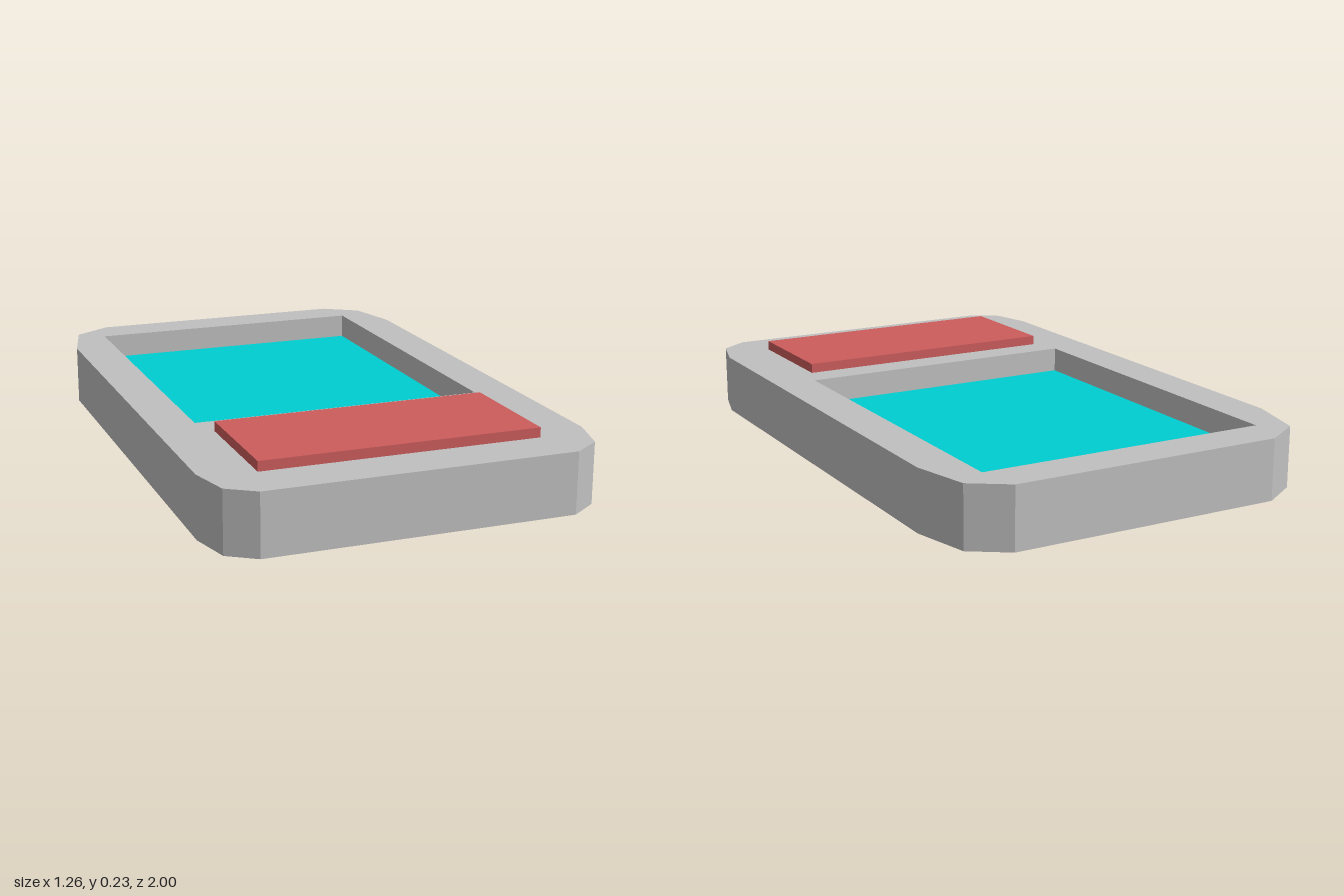
import * as THREE from 'three';

// Body outline, in x and z
const OUTLINE = [
  [-0.45, -1], [0.46, -1], [0.58, -0.92], [0.626, -0.73],
  [0.626, 0.79], [0.587, 0.935], [0.495, 1], [-0.505, 1],
  [-0.595, 0.94], [-0.63, 0.8], [-0.63, -0.715], [-0.577, -0.92],
];
const SCREEN = { x0: -0.49, x1: 0.487, z0: -0.86, z1: 0.328 };
const HEIGHT = 0.2, FLOOR = 0.11;

const toPoints = (list) => list.map(([x, z]) => new THREE.Vector2(x, z));

export function createModel() {
  const group = new THREE.Group();
  const material = (name, color) =>
    new THREE.MeshStandardMaterial({ name, color, flatShading: true });
  const grey = material('casing grey', 0xc0c0c0);
  const cyan = material('screen turquoise', 0x00ced1);
  const red = material('keypad red', 0xcd5c5c);

  const add = (name, geometry, mat) => {
    const mesh = new THREE.Mesh(geometry, mat);
    mesh.name = name;
    group.add(mesh);
  };

  // Extrudes an x-z shape between two heights
  const slab = (shape, y0, y1) =>
    new THREE.ExtrudeGeometry(shape, { depth: y1 - y0, bevelEnabled: false })
      .rotateX(Math.PI / 2).translate(0, y1, 0);

  // Box given by its bounds
  const block = ({ x0, x1, z0, z1 }, y0, y1) =>
    new THREE.BoxGeometry(x1 - x0, y1 - y0, z1 - z0)
      .translate((x0 + x1) / 2, (y0 + y1) / 2, (z0 + z1) / 2);

  // Solid base below the recess
  add('base', slab(new THREE.Shape(toPoints(OUTLINE)), 0, FLOOR), grey);

  // Frame around the recessed screen
  const frame = new THREE.Shape(toPoints(OUTLINE));
  const { x0, x1, z0, z1 } = SCREEN;
  frame.holes.push(new THREE.Path(toPoints([[x0, z0], [x0, z1], [x1, z1], [x1, z0]])));
  add('frame', slab(frame, FLOOR, HEIGHT), grey);

  // Screen plate on the recess floor
  add('screen', block(SCREEN, FLOOR, FLOOR + 0.006), cyan);

  // Raised keypad at the front
  add('keypad', block({ x0: -0.457, x1: 0.453, z0: 0.43, z1: 0.84 }, HEIGHT, 0.232), red);

  return group;
}
